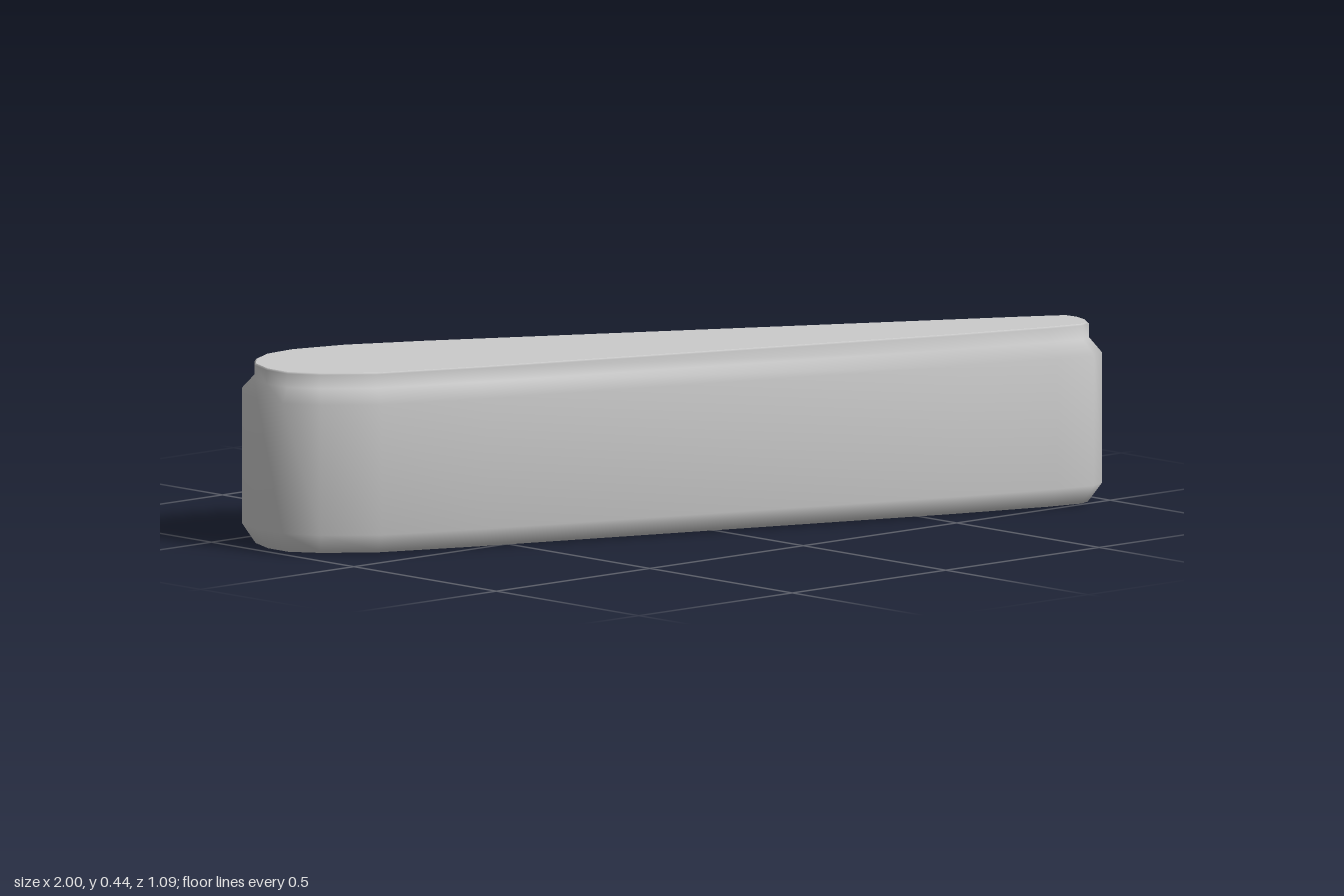
import * as THREE from 'three';

// Teardrop plan outline [x, z], from the wide end round to the narrow tip and back
const OUTLINE = [
  [-1, -0.34], [-0.965, -0.43], [-0.91, -0.49], [-0.83, -0.535], [-0.73, -0.545],
  [-0.585, -0.507], [-0.4, -0.417], [0.88, 0.283], [0.96, 0.33], [0.993, 0.36],
  [1, 0.417], [0.985, 0.47], [0.955, 0.52], [0.91, 0.54], [0.81, 0.52],
  [0.567, 0.444], [-0.594, 0.027], [-0.84, -0.075], [-0.95, -0.17], [-1, -0.25],
].map(([x, z]) => new THREE.Vector2(x, z));

// Vertical section [height, inset]: bottom bevel, wall, sloped ledge, raised lid
const PROFILE = [
  [0.002, 1.08], [0.007, 0.95], [0.05, 0], [0.365, 0], [0.4, 0.95], [0.433, 0.95], [0.437, 1.08],
];
const INSET_X = 0.027, INSET_Z = 0.038;

// Outline moved inward along its averaged normals
function ring(y, inset) {
  const n = OUTLINE.length;
  return OUTLINE.map((p, i) => {
    const before = p.clone().sub(OUTLINE[(i + n - 1) % n]).normalize();
    const after = OUTLINE[(i + 1) % n].clone().sub(p).normalize();
    const t = before.add(after).normalize();
    return [p.x - t.y * INSET_X * inset, y, p.y + t.x * INSET_Z * inset];
  });
}

function makeGeometry(points, index) {
  const g = new THREE.BufferGeometry();
  g.setAttribute('position', new THREE.Float32BufferAttribute(points.flat(), 3));
  g.setIndex(index);
  g.computeVertexNormals();
  return g;
}

// Side skin through the stacked rings
function skin(rings) {
  const n = OUTLINE.length, index = [];
  for (let r = 0; r < rings.length - 1; r++) {
    for (let i = 0; i < n; i++) {
      const j = (i + 1) % n;
      const a = r * n + i, b = r * n + j, c = a + n, d = b + n;
      index.push(a, c, d, a, d, b);
    }
  }
  return makeGeometry(rings.flat(), index);
}

// Flat cap as a fan around the middle
function cap(loop, y, up) {
  const n = loop.length, index = [];
  for (let i = 0; i < n; i++) {
    const j = (i + 1) % n;
    index.push(n, up ? j : i, up ? i : j);
  }
  return makeGeometry([...loop, [-0.1, y, -0.03]], index);
}

export function createModel() {
  const group = new THREE.Group();
  group.name = 'taperedBlock';
  const material = new THREE.MeshStandardMaterial({ color: 0xcccccc });
  const add = (name, geometry) => {
    const mesh = new THREE.Mesh(geometry, material);
    mesh.name = name;
    group.add(mesh);
  };
  const rings = PROFILE.map(([y, inset]) => ring(y, inset));
  add('sideWall', skin(rings));
  add('topFace', cap(rings[rings.length - 1], 0.437, true));
  add('bottomFace', cap(rings[0], 0, false));
  return group;
}
